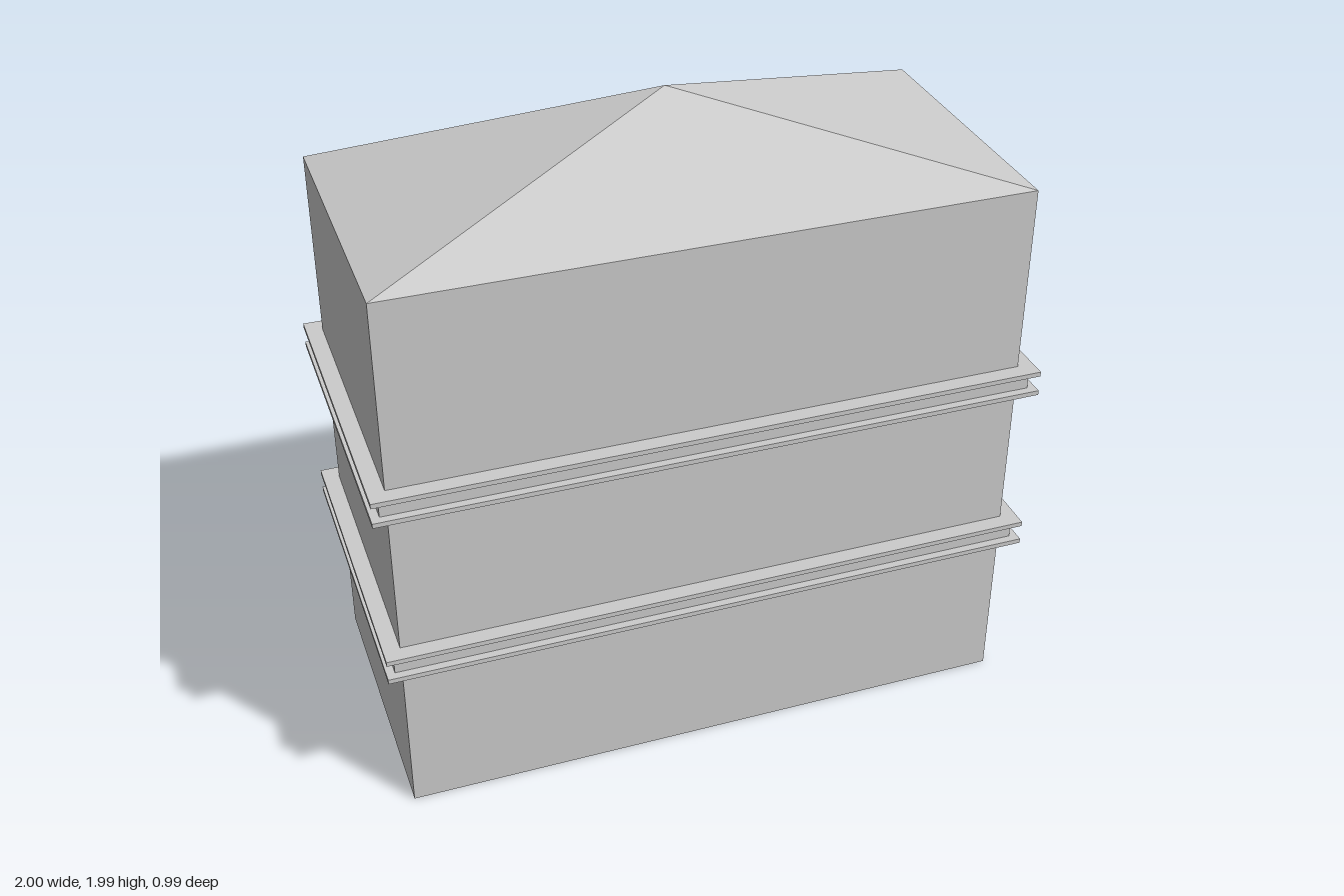
import * as THREE from 'three';

const HALF_X = 0.95, HALF_Z = 0.445;   // wall half sizes
const EAVE = 1.72, APEX = 1.99;
const BANDS = [0.51, 1.06];            // bottom height of each band
const BAND_H = 0.08, LIP = 0.015, LIP_OUT = 0.05, WEB_OUT = 0.025;

const material = new THREE.MeshStandardMaterial({
  color: 0xcccccc, flatShading: true, side: THREE.DoubleSide,
});

// Sweeps a profile of [outward offset, height] points around the rectangular plan.
function rectangularSweep(name, profile) {
  const corners = [[1, 1], [1, -1], [-1, -1], [-1, 1]];
  const point = ([out, y], [sx, sz]) => [sx * (HALF_X + out), y, sz * (HALF_Z + out)];
  const positions = [];
  for (let i = 0; i < profile.length - 1; i++) {
    for (let k = 0; k < 4; k++) {
      const next = corners[(k + 1) % 4];
      const a = point(profile[i], corners[k]), b = point(profile[i], next);
      const c = point(profile[i + 1], next), d = point(profile[i + 1], corners[k]);
      positions.push(...a, ...b, ...c, ...a, ...c, ...d);
    }
  }
  const geometry = new THREE.BufferGeometry();
  geometry.setAttribute('position', new THREE.Float32BufferAttribute(positions, 3));
  geometry.computeVertexNormals();
  const mesh = new THREE.Mesh(geometry, material);
  mesh.name = name;
  return mesh;
}

export function createModel() {
  const group = new THREE.Group();
  group.name = 'hollowTower';

  // Plain wall tiers between the bands, open at the bottom
  const names = ['lower', 'middle', 'upper'];
  names.forEach((name, i) => {
    const from = i === 0 ? 0 : BANDS[i - 1] + BAND_H;
    const to = i === 2 ? EAVE : BANDS[i];
    group.add(rectangularSweep(name + 'Wall', [[0, from], [0, to]]));
  });

  // Channel bands: two projecting lips with a recessed web between them
  BANDS.forEach((y, i) => {
    const top = y + BAND_H;
    group.add(rectangularSweep(names[i] + 'Band', [
      [0, y], [LIP_OUT, y], [LIP_OUT, y + LIP], [WEB_OUT, y + LIP],
      [WEB_OUT, top - LIP], [LIP_OUT, top - LIP], [LIP_OUT, top], [0, top],
    ]));
  });

  // Pyramid roof
  const roofGeometry = new THREE.ConeGeometry(Math.SQRT2, APEX - EAVE, 4, 1, true);
  roofGeometry.rotateY(Math.PI / 4).scale(HALF_X, 1, HALF_Z);
  const roof = new THREE.Mesh(roofGeometry, material);
  roof.name = 'roof';
  roof.position.y = (EAVE + APEX) / 2;
  group.add(roof);

  return group;
}
